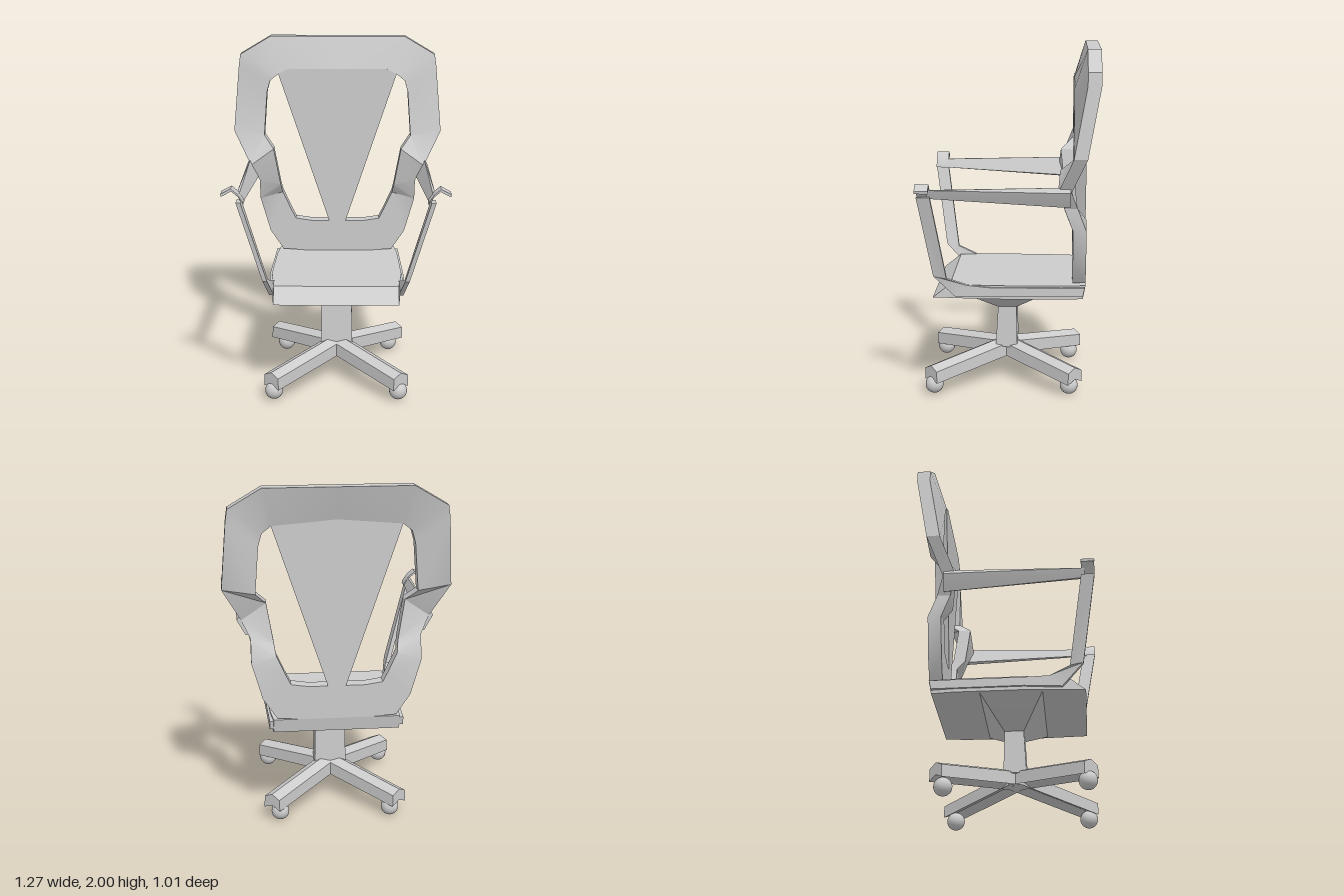
import * as THREE from 'three';
import { toCreasedNormals } from 'three/addons/utils/BufferGeometryUtils.js';

const material = new THREE.MeshStandardMaterial({ color: 0xcccccc, side: THREE.DoubleSide });

// Skin a list of rings (each an equal-length list of [x, y, z]); faces are turned outwards.
function loft(name, rings, mirrored = false, caps = true) {
  const tris = [];
  const n = rings[0].length;
  for (let i = 0; i < rings.length - 1; i++) {
    for (let j = 0; j < n; j++) {
      const k = (j + 1) % n;
      const a = rings[i][j], b = rings[i][k], c = rings[i + 1][k], d = rings[i + 1][j];
      tris.push([a, b, c], [a, c, d]);
    }
  }
  if (caps) {
    const first = rings[0], last = rings[rings.length - 1];
    for (let j = 1; j < n - 1; j++) {
      tris.push([first[0], first[j + 1], first[j]], [last[0], last[j], last[j + 1]]);
    }
  }
  const s = mirrored ? -1 : 1;
  const v = (p) => new THREE.Vector3(p[0] * s, p[1], p[2]);
  let volume = 0;
  const faces = tris.map((t) => t.map(v));
  for (const [a, b, c] of faces) volume += a.dot(b.clone().cross(c));
  const points = faces.flatMap(([a, b, c]) => (volume < 0 ? [a, c, b] : [a, b, c]));
  const geometry = new THREE.BufferGeometry().setFromPoints(points);
  const mesh = new THREE.Mesh(toCreasedNormals(geometry, 0.45), material);
  mesh.name = name;
  return mesh;
}

// Rectangle at height y
const rect = (x, y, z0, z1) => [[-x, y, z0], [x, y, z0], [x, y, z1], [-x, y, z1]];

export function createModel() {
  const chair = new THREE.Group();
  chair.name = 'officeChair';

  // Backrest frame, from bottom centre round to top centre:
  // outer x, y, front z; inner x, y, front z
  const T = 0.075;
  const frame = [
    [0, 0.66, -0.36, 0, 0.855, -0.36],
    [0.05, 0.66, -0.36, 0.05, 0.855, -0.36],
    [0.2, 0.66, -0.36, 0.16, 0.855, -0.36],
    [0.34, 0.67, -0.36, 0.26, 0.87, -0.36],
    [0.42, 0.79, -0.36, 0.29, 0.93, -0.36],
    [0.48, 1.0, -0.36, 0.34, 1.04, -0.36],
    [0.48, 1.13, -0.31, 0.35, 1.1, -0.31],
    [0.53, 1.23, -0.275, 0.39, 1.33, -0.285],
    [0.635, 1.43, -0.36, 0.45, 1.4, -0.36],
    [0.605, 1.82, -0.43, 0.43, 1.67, -0.36],
    [0.595, 1.89, -0.43, 0.41, 1.74, -0.36],
    [0.41, 2.0, -0.43, 0.36, 1.78, -0.36],
    [0, 2.0, -0.43, 0, 1.81, -0.36],
  ].map(([ox, oy, oz, ix, iy, iz]) => [
    [ox, oy, oz], [ix, iy, iz], [ix, iy, iz - T], [ox, oy, oz - T],
  ]);
  chair.add(loft('backFrameLeft', frame, false, false));
  chair.add(loft('backFrameRight', frame, true, false));

  // Tapered central panel of the backrest
  chair.add(loft('backPanel', [
    rect(0.05, 0.85, -0.435, -0.36),
    rect(0.36, 1.78, -0.435, -0.36),
    rect(0.3, 1.81, -0.435, -0.36),
  ]));

  // Seat with a sloping front lip: z of top, z of bottom, half width
  chair.add(loft('seat', [
    [-0.435, -0.42, 0.36],
    [-0.3, -0.3, 0.375],
    [0.1, 0.1, 0.385],
    [0.34, 0.44, 0.36],
  ].map(([zt, zb, w]) => [[-w, 0.66, zt], [w, 0.66, zt], [w, 0.58, zb], [-w, 0.58, zb]])));

  // Support under the seat and the column
  chair.add(loft('seatSupport', [rect(0.36, 0.58, -0.15, 0.2), rect(0.09, 0.45, -0.03, 0.08)]));
  chair.add(loft('column', [rect(0.09, 0.45, -0.03, 0.08), rect(0.095, 0.2, -0.035, 0.095)]));

  // Arms on both sides
  for (const mirrored of [false, true]) {
    const arm = new THREE.Group();
    arm.name = mirrored ? 'armRight' : 'armLeft';

    // Front post, bending into a rail along the seat: x, outer y/z, inner y/z
    const post = [
      [0.54, 1.2, 0.505, 1.2, 0.43],
      [0.405, 0.72, 0.43, 0.705, 0.355],
      [0.375, 0.595, 0.31, 0.66, 0.24],
      [0.385, 0.6, 0.1, 0.65, 0.1],
      [0.37, 0.6, -0.42, 0.65, -0.43],
    ].map(([x, y0, z0, y1, z1]) => [
      [x - 0.013, y0, z0], [x + 0.013, y0, z0], [x + 0.013, y1, z1], [x - 0.013, y1, z1],
    ]);
    arm.add(loft('armPost', post, mirrored));

    // Slanted bar widening towards the backrest
    arm.add(loft('armBar', [
      [[0.53, 1.19, 0.45], [0.55, 1.24, 0.45], [0.535, 1.24, 0.45], [0.515, 1.19, 0.45]],
      [[0.505, 1.14, -0.345], [0.555, 1.23, -0.345], [0.535, 1.26, -0.345], [0.485, 1.15, -0.345]],
    ], mirrored));

    // Small curled pad at the front
    const pad = [[0.51, 1.19], [0.54, 1.235], [0.575, 1.265], [0.632, 1.235]].map(([x, y]) => [
      [x, y, 0.43], [x, y, 0.505], [x + 0.003, y + 0.015, 0.505], [x + 0.003, y + 0.015, 0.43],
    ]);
    arm.add(loft('armPad', pad, mirrored));
    chair.add(arm);
  }

  // Four ridged legs with ball feet
  for (const side of [1, -1]) {
    for (const [ez, bx, by, bz] of [[0.455, 0.36, 0.062, 0.437], [-0.38, 0.325, 0.055, -0.345]]) {
      const end = new THREE.Vector2(side * 0.375, ez);
      const dir = end.clone().sub(new THREE.Vector2(0, 0.03)).normalize();
      const section = (x, z, y, drop) => [
        [0, 0], [0.055, -0.025], [0.058, -drop - 0.025], [0, -drop], [-0.058, -drop - 0.025], [-0.055, -0.025],
      ].map(([u, v]) => [x - dir.y * u, y + v, z + dir.x * u]);
      const front = ez > 0 ? 'front' : 'back';
      chair.add(loft(front + 'Leg', [section(0, 0.03, 0.245, 0.075), section(end.x, end.y, 0.172, 0.07)]));

      const ball = new THREE.Mesh(new THREE.SphereGeometry(0.052, 20, 14), material);
      ball.name = front + 'Foot';
      ball.position.set(side * bx, by - 0.005, bz);
      chair.add(ball);
    }
  }
  return chair;
}
